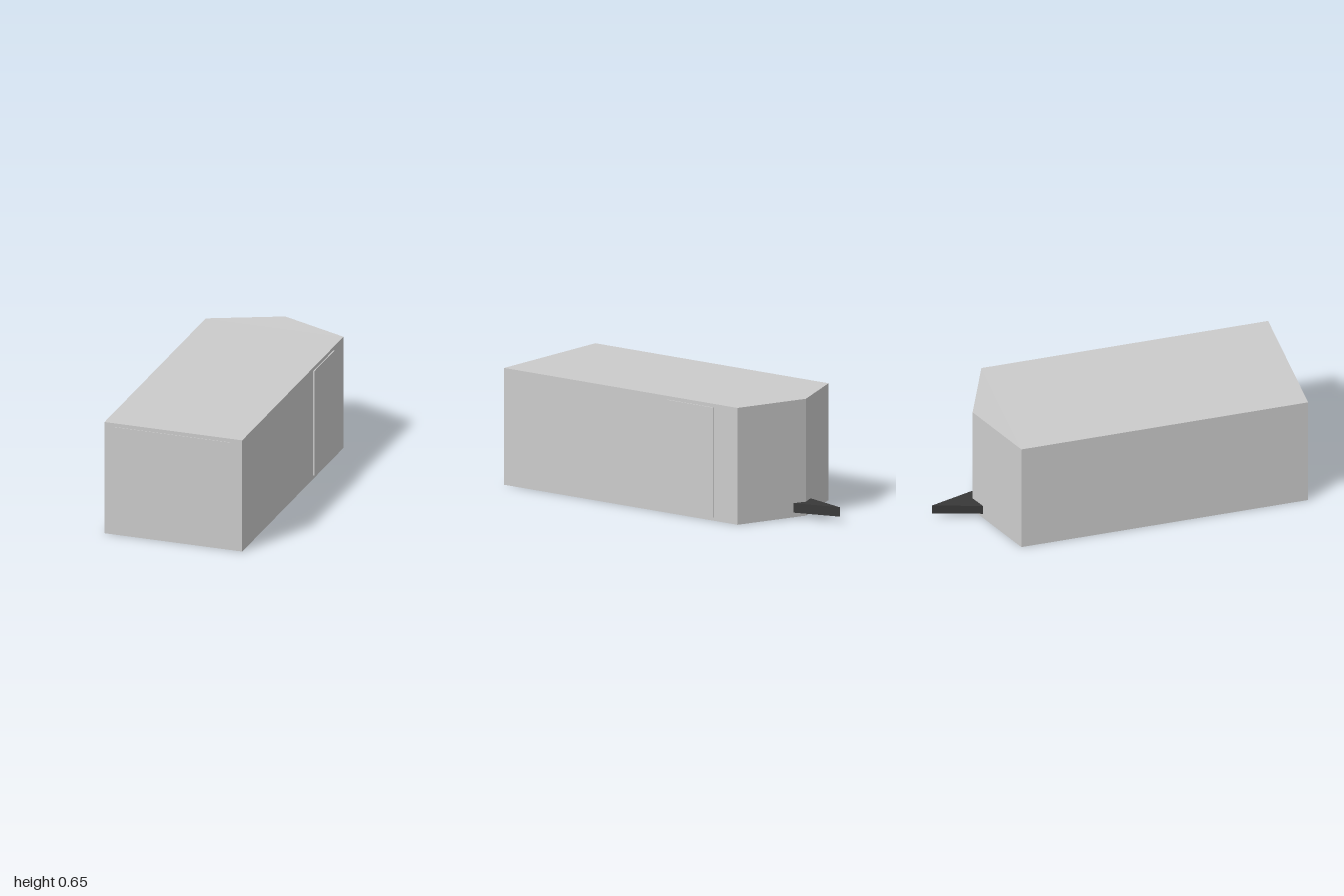
import * as THREE from 'three';

const grey = new THREE.MeshStandardMaterial({ color: 0xcccccc, flatShading: true });
const dark = new THREE.MeshStandardMaterial({ color: 0x383838, flatShading: true });

// Upright prism from a plan outline of [x, z] points
function prism(name, plan, y0, y1, material) {
  const shape = new THREE.Shape(plan.map(([x, z]) => new THREE.Vector2(x, -z)));
  const geometry = new THREE.ExtrudeGeometry(shape, { depth: y1 - y0, bevelEnabled: false });
  geometry.rotateX(-Math.PI / 2).translate(0, y0, 0);
  const mesh = new THREE.Mesh(geometry, material);
  mesh.name = name;
  return mesh;
}

// Box given by its lower and upper corners
function box(name, min, max) {
  const size = max.map((v, i) => v - min[i]);
  const mesh = new THREE.Mesh(new THREE.BoxGeometry(...size), grey);
  mesh.position.set(...max.map((v, i) => (v + min[i]) / 2));
  mesh.name = name;
  return mesh;
}

export function createModel() {
  const group = new THREE.Group();
  group.name = 'cargoTrailer';
  const left = 0.391, right = -0.398, noseZ = -0.61;

  // Cargo box with a wedge nose at the rear of the frame
  group.add(box('cargoBox', [right, 0, noseZ], [left, 0.645, 0.997]));
  const nose = prism('wedgeNose', [[right, noseZ], [left, noseZ], [0, -0.77]], 0, 0.645, grey);
  const p = nose.geometry.attributes.position;
  for (let i = 0; i < p.count; i++) {
    // The point of the nose rises slightly
    if (p.getZ(i) < -0.7) p.setY(i, p.getY(i) + 0.005);
  }
  nose.geometry.computeVertexNormals();
  group.add(nose);

  // Side door and the thin seam above the end ramp
  group.add(box('sideDoor', [left - 0.005, 0.02, -0.45], [0.397, 0.625, -0.13]));
  group.add(box('rampSeam', [-0.34, 0.621, 0.99], [0.33, 0.624, 1]));

  // Triangular tow hitch
  group.add(prism('towHitch', [[-0.085, -0.73], [0.075, -0.73], [-0.005, -1]], 0.03, 0.082, dark));
  return group;
}
